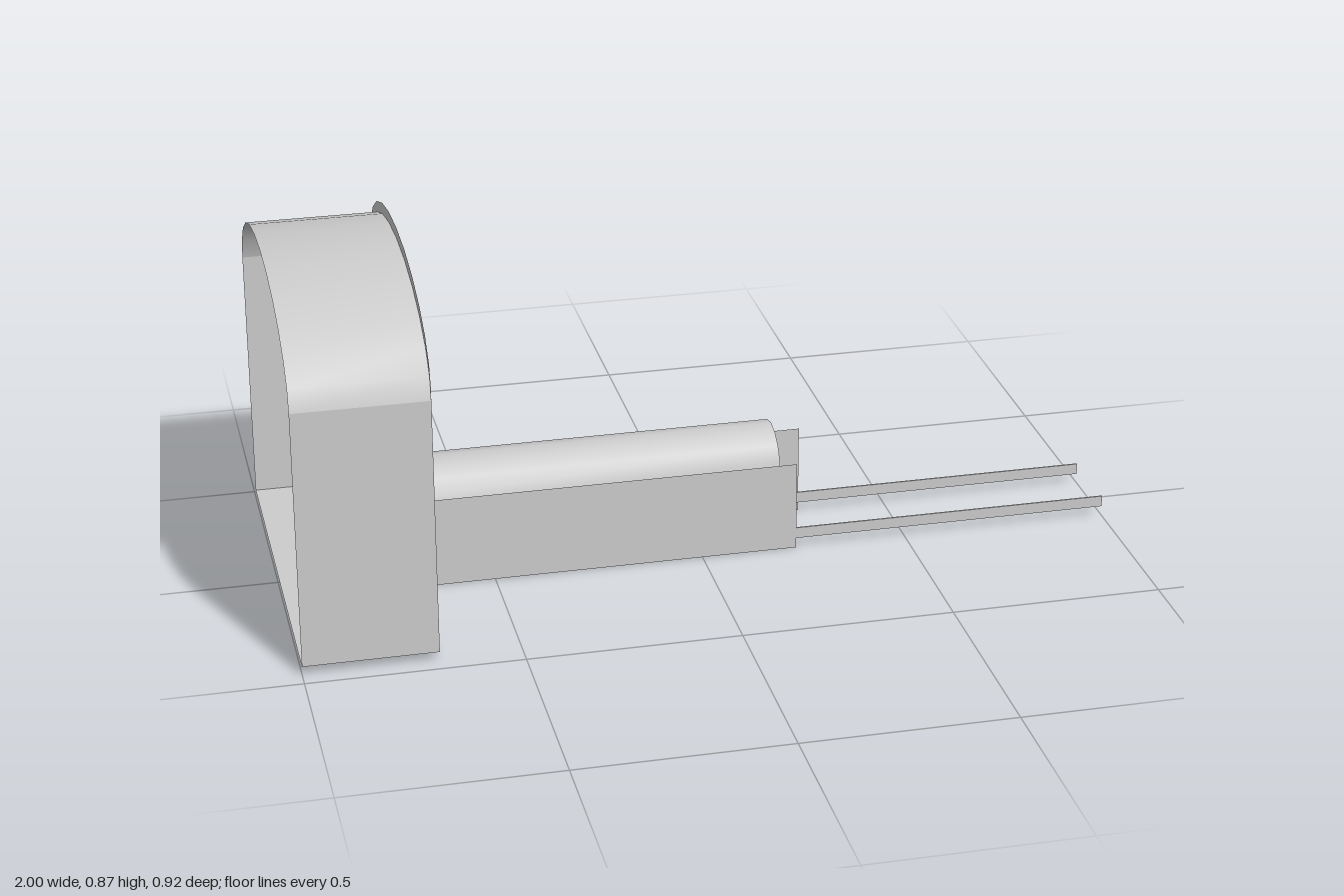
import * as THREE from 'three';

const material = new THREE.MeshStandardMaterial({ color: 0xcccccc, side: THREE.DoubleSide });

// Thin sheet: a profile of [z, y] points swept along x from x0 to x1
function sheet(name, profile, x0, x1) {
  const positions = [], index = [];
  profile.forEach(([z, y], i) => {
    positions.push(x0, y, z, x1, y, z);
    if (i > 0) {
      const a = 2 * (i - 1);
      index.push(a, a + 1, a + 3, a, a + 3, a + 2);
    }
  });
  const geometry = new THREE.BufferGeometry();
  geometry.setAttribute('position', new THREE.Float32BufferAttribute(positions, 3));
  geometry.setIndex(index);
  geometry.computeVertexNormals();
  const mesh = new THREE.Mesh(geometry, material);
  mesh.name = name;
  return mesh;
}

// Half ellipse from +z over the top to -z
function arch(halfWidth, base, rise, segments) {
  return Array.from({ length: segments + 1 }, (_, i) => {
    const t = (Math.PI * i) / segments;
    return [halfWidth * Math.cos(t), base + rise * Math.sin(t)];
  });
}

export function createModel() {
  const model = new THREE.Group();
  const back = -1, wallX = -0.69, floorY = 0.022;
  const halfRoom = 0.462, halfTunnel = 0.097;

  // Chamber shell, open at its far end
  const chamber = new THREE.Group();
  chamber.name = 'chamber';
  chamber.add(
    sheet('chamberRoof', arch(halfRoom, 0.64, 0.2, 12), back, wallX),
    sheet('chamberFloor', [[-halfRoom, floorY], [halfRoom, floorY]], back, wallX),
    sheet('chamberLeftSide', [[halfRoom, floorY], [halfRoom, 0.64]], back, wallX),
    sheet('chamberRightSide', [[-halfRoom, 0.64], [-halfRoom, floorY]], back, wallX)
  );

  // End wall, rising a little above the roof, with the tunnel doorway
  const outline = (points, halfWidth) =>
    [[halfWidth, floorY], ...points, [-halfWidth, floorY]].map(([z, y]) => new THREE.Vector2(z, y));
  const tunnelArch = arch(halfTunnel, 0.19, 0.1, 8);
  const wallShape = new THREE.Shape(outline(arch(halfRoom, 0.667, 0.2, 12), halfRoom));
  wallShape.holes.push(new THREE.Path(outline(tunnelArch, halfTunnel)));
  const endWall = new THREE.Mesh(new THREE.ShapeGeometry(wallShape).rotateY(Math.PI / 2), material);
  endWall.name = 'endWall';
  endWall.position.x = wallX;
  chamber.add(endWall);
  model.add(chamber);

  // Tunnel: vaulted roof, floor and two side walls of unequal length
  const tunnel = new THREE.Group();
  tunnel.name = 'tunnel';
  tunnel.add(
    sheet('tunnelRoof', tunnelArch, wallX, 0.19),
    sheet('tunnelFloor', [[-halfTunnel, floorY], [halfTunnel, floorY]], wallX, 0.23),
    sheet('tunnelFrontWall', [[halfTunnel, 0], [halfTunnel, 0.22]], wallX, 0.23),
    sheet('tunnelBackWall', [[-halfTunnel, 0.22], [-halfTunnel, 0]], wallX, 0.285)
  );
  model.add(tunnel);

  // Pair of low kerbs leading out of the tunnel
  for (const side of [1, -1]) {
    const kerb = new THREE.Mesh(new THREE.BoxGeometry(0.77, 0.027, 0.004), material);
    kerb.name = side > 0 ? 'frontKerb' : 'backKerb';
    kerb.position.set(0.615, 0.0375, side * 0.0935);
    model.add(kerb);
  }
  return model;
}
